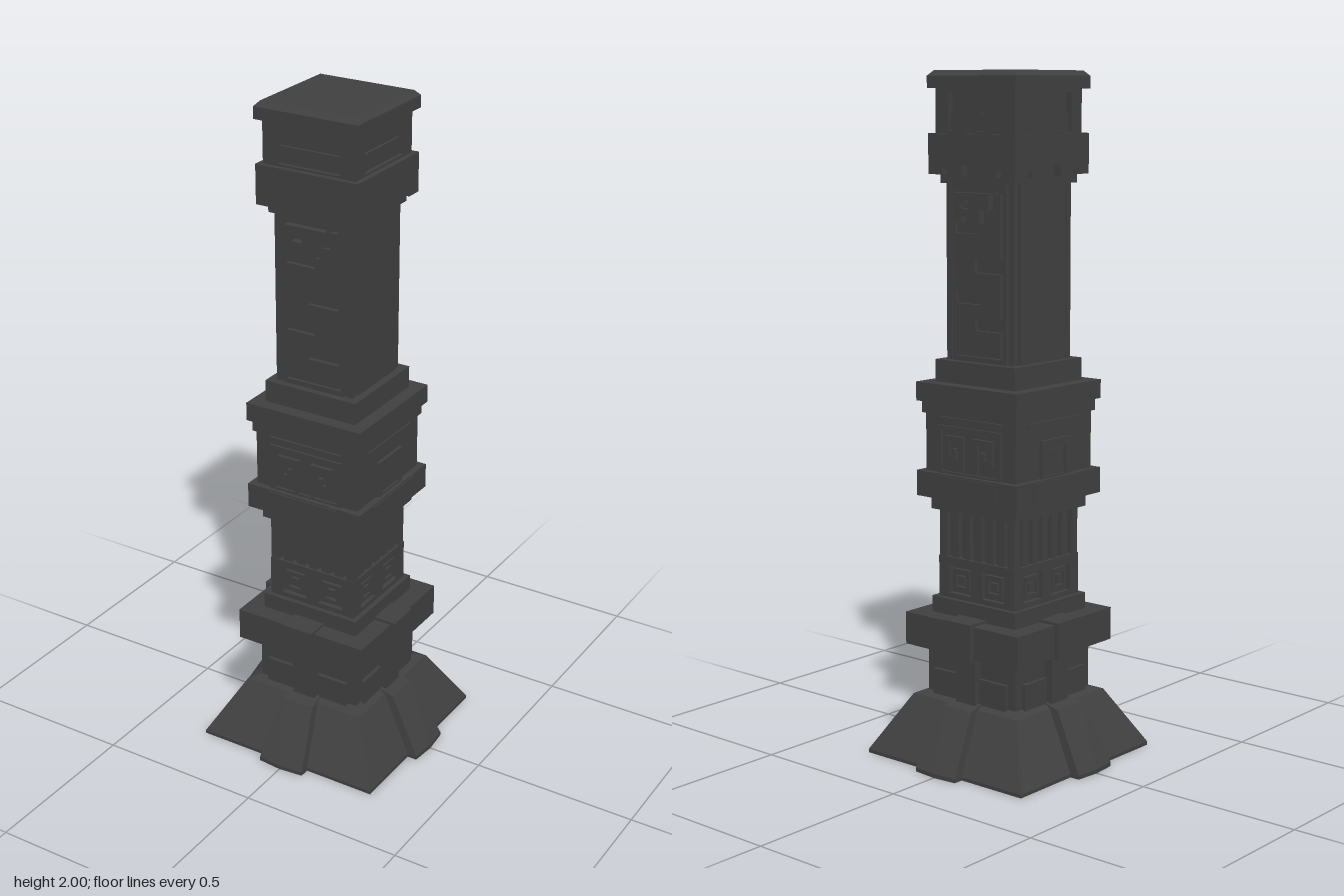
import * as THREE from 'three';
import { ConvexGeometry } from 'three/addons/geometries/ConvexGeometry.js';

const stone = new THREE.MeshStandardMaterial({ color: 0x404040, flatShading: true });

function add(parent, name, geometry) {
  const mesh = new THREE.Mesh(geometry, stone);
  mesh.name = name;
  parent.add(mesh);
  return mesh;
}

// Square block centred on the axis; half-widths at bottom and top
function tier(parent, name, y0, y1, bottom, top = bottom) {
  const g = new THREE.CylinderGeometry(top * Math.SQRT2, bottom * Math.SQRT2, y1 - y0, 4, 1);
  g.rotateY(Math.PI / 4).translate(0, (y0 + y1) / 2, 0);
  return add(parent, name, g);
}

// Box given by its limits
function block(parent, name, x0, x1, y0, y1, z0, z1) {
  const g = new THREE.BoxGeometry(x1 - x0, y1 - y0, z1 - z0);
  g.translate((x0 + x1) / 2, (y0 + y1) / 2, (z0 + z1) / 2);
  return add(parent, name, g);
}

const rect = (x0, x1, y0, y1) => [[x0, y0], [x1, y0], [x1, y1], [x0, y1]];

// Flat plate from an outline with optional holes
function plate(parent, name, outline, holes, z0, z1) {
  const vec = (pts) => pts.map(([x, y]) => new THREE.Vector2(x, y));
  const shape = new THREE.Shape(vec(outline));
  holes.forEach((h) => shape.holes.push(new THREE.Path(vec(h))));
  const g = new THREE.ExtrudeGeometry(shape, { depth: z1 - z0, bevelEnabled: false });
  g.translate(0, 0, z0);
  return add(parent, name, g);
}

// Carving shared by all four faces
function commonFace(f) {
  // Flared buttress with a slightly bowed foot
  const pts = [];
  for (const s of [-1, 1]) {
    pts.push([s * 0.047, 0.195, 0.165], [s * 0.053, 0.18, 0.23], [s * 0.075, 0.012, 0.326],
      [s * 0.075, 0, 0.326], [s * 0.075, 0, 0.15], [s * 0.047, 0.18, 0.15]);
  }
  pts.push([0, 0.012, 0.333], [0, 0, 0.333]);
  add(f, 'buttress', new ConvexGeometry(pts.map((p) => new THREE.Vector3(...p))));
  block(f, 'strap', -0.037, 0.037, 0.18, 0.34, 0.15, 0.195);
  block(f, 'buckle', -0.05, 0.05, 0.328, 0.438, 0.15, 0.23);

  // Two square sockets with bosses
  const centres = [-0.063, 0.063];
  const socket = (x, r) => rect(x - r, x + r, 0.535 - r, 0.535 + r);
  plate(f, 'socketPanel', rect(-0.145, 0.145, 0.475, 0.6), centres.map((x) => socket(x, 0.042)), 0.128, 0.145);
  for (const x of centres) {
    plate(f, 'socketRing', socket(x, 0.032), [socket(x, 0.02)], 0.128, 0.141);
    plate(f, 'socketBoss', socket(x, 0.012), [], 0.128, 0.141);
  }

  // Fluting
  for (let i = -2; i <= 2; i++) {
    block(f, 'flute', i * 0.044 - 0.014, i * 0.044 + 0.014, 0.6, 0.74, 0.11, 0.138);
  }
  block(f, 'collarPanel', -0.115, 0.115, 0.785, 0.85, 0.17, 0.193);
  block(f, 'lintel', -0.12, 0.12, 1.008, 1.02, 0.165, 0.177);

  // Stepped lower edge of the upper collar
  plate(f, 'collarEdge', [[-0.162, 1.825], [-0.162, 1.71], [-0.112, 1.71], [-0.112, 1.725], [-0.09, 1.725],
    [-0.09, 1.705], [-0.035, 1.705], [-0.035, 1.738], [0.035, 1.738], [0.035, 1.705], [0.09, 1.705],
    [0.09, 1.725], [0.112, 1.725], [0.112, 1.71], [0.162, 1.71], [0.162, 1.825]], [], 0.13, 0.162);

  // Window frame of the head
  plate(f, 'windowFrame', rect(-0.147, 0.147, 1.82, 1.955), [rect(-0.1, 0.1, 1.832, 1.94)], 0.128, 0.147);
  block(f, 'windowSill', -0.1, 0.1, 1.832, 1.88, 0.12, 0.136);
}

// Hooked motifs and meander for the front and back
function carvedFace(f) {
  for (const s of [-1, 1]) {
    const hook = [[0.02, 0.865], [0.035, 0.865], [0.035, 0.952], [0.073, 0.952], [0.073, 0.912], [0.06, 0.912],
      [0.06, 0.932], [0.046, 0.932], [0.046, 0.897], [0.09, 0.897], [0.09, 0.968], [0.02, 0.968]];
    plate(f, 'hookMotif', hook.map(([x, y]) => [s * x, y]), [], 0.165, 0.181);
  }
  plate(f, 'motifFrame', rect(-0.12, 0.12, 0.855, 0.995), [rect(-0.105, 0.105, 0.862, 0.982)], 0.165, 0.177);

  plate(f, 'shaftFrame', rect(-0.1, 0.1, 1.18, 1.685), [rect(-0.09, 0.09, 1.195, 1.665)], 0.115, 0.13);
  plate(f, 'meander', [[-0.088, 1.2], [0.078, 1.2], [0.078, 1.27], [-0.016, 1.27], [-0.016, 1.305], [0.078, 1.305],
    [0.078, 1.435], [-0.016, 1.435], [-0.016, 1.475], [0.078, 1.475], [0.078, 1.66], [0.055, 1.66], [0.055, 1.61],
    [0.02, 1.61], [0.02, 1.575], [0.005, 1.575], [0.005, 1.545], [-0.088, 1.545], [-0.088, 1.38],
    [0.005, 1.38], [0.005, 1.345], [-0.088, 1.345]], [], 0.115, 0.13);
  plate(f, 'topGlyph', [[-0.086, 1.66], [-0.086, 1.575], [-0.06, 1.575], [-0.06, 1.595], [-0.03, 1.595],
    [-0.03, 1.575], [0.008, 1.575], [0.008, 1.615], [0.042, 1.615], [0.042, 1.66]],
  [[[-0.065, 1.615], [-0.03, 1.615], [-0.03, 1.64], [-0.045, 1.64], [-0.045, 1.63], [-0.065, 1.63]]], 0.115, 0.139);
}

// Square motif and plain panel for the sides
function plainFace(f) {
  plate(f, 'squareMotif', rect(-0.065, 0.065, 0.85, 0.965), [rect(-0.043, 0.043, 0.862, 0.943)], 0.165, 0.18);
  block(f, 'squareBoss', -0.037, 0.037, 0.862, 0.937, 0.165, 0.175);
  block(f, 'shaftPanel', -0.1, 0.1, 1.18, 1.685, 0.1, 0.128);
}

export function createModel() {
  const model = new THREE.Group();
  model.name = 'stonePillar';

  // Base
  tier(model, 'baseLip', 0, 0.01, 0.296);
  tier(model, 'baseSkirt', 0.01, 0.18, 0.296, 0.2);
  tier(model, 'baseTop', 0.18, 0.192, 0.2, 0.17);
  tier(model, 'pedestal', 0.18, 0.34, 0.168);
  tier(model, 'lowerBand', 0.333, 0.43, 0.215);
  tier(model, 'lowerStep', 0.43, 0.478, 0.16);

  // Lower column
  tier(model, 'socketCore', 0.475, 0.6, 0.13);
  tier(model, 'fluteCore', 0.6, 0.74, 0.124);
  tier(model, 'fluteCap', 0.74, 0.78, 0.16);
  tier(model, 'middleCollar', 0.78, 0.855, 0.19);
  tier(model, 'middleBlock', 0.855, 1.06, 0.17);
  tier(model, 'middleBlockTop', 1.025, 1.062, 0.178);
  tier(model, 'upperLedge', 1.06, 1.115, 0.19);
  tier(model, 'shaftFoot', 1.115, 1.18, 0.15);

  // Shaft and head
  tier(model, 'shaft', 1.18, 1.69, 0.117);
  tier(model, 'shaftCap', 1.685, 1.74, 0.138);
  tier(model, 'upperCollar', 1.738, 1.825, 0.16);
  tier(model, 'headCore', 1.825, 1.955, 0.128);
  tier(model, 'capSlab', 1.95, 1.985, 0.164);
  tier(model, 'capTop', 1.985, 2, 0.164, 0.15);

  for (let i = 0; i < 4; i++) {
    const face = new THREE.Group();
    face.name = ['frontFace', 'leftFace', 'backFace', 'rightFace'][i];
    face.rotation.y = (i * Math.PI) / 2;
    commonFace(face);
    if (i % 2) plainFace(face);
    else carvedFace(face);
    // Corner parts of the pedestal, flutes and shaft
    for (const s of [-1, 1]) {
      const [a, b] = s < 0 ? [-0.14, -0.04] : [0.04, 0.14];
      block(face, 'pedestalBlock', a, b, 0.18, 0.265, 0.15, 0.18);
    }
    block(face, 'cornerFlute', 0.117, 0.143, 0.6, 0.74, 0.117, 0.143);
    block(face, 'cornerPost', 0.108, 0.126, 1.18, 1.685, 0.108, 0.126);
    model.add(face);
  }
  return model;
}
